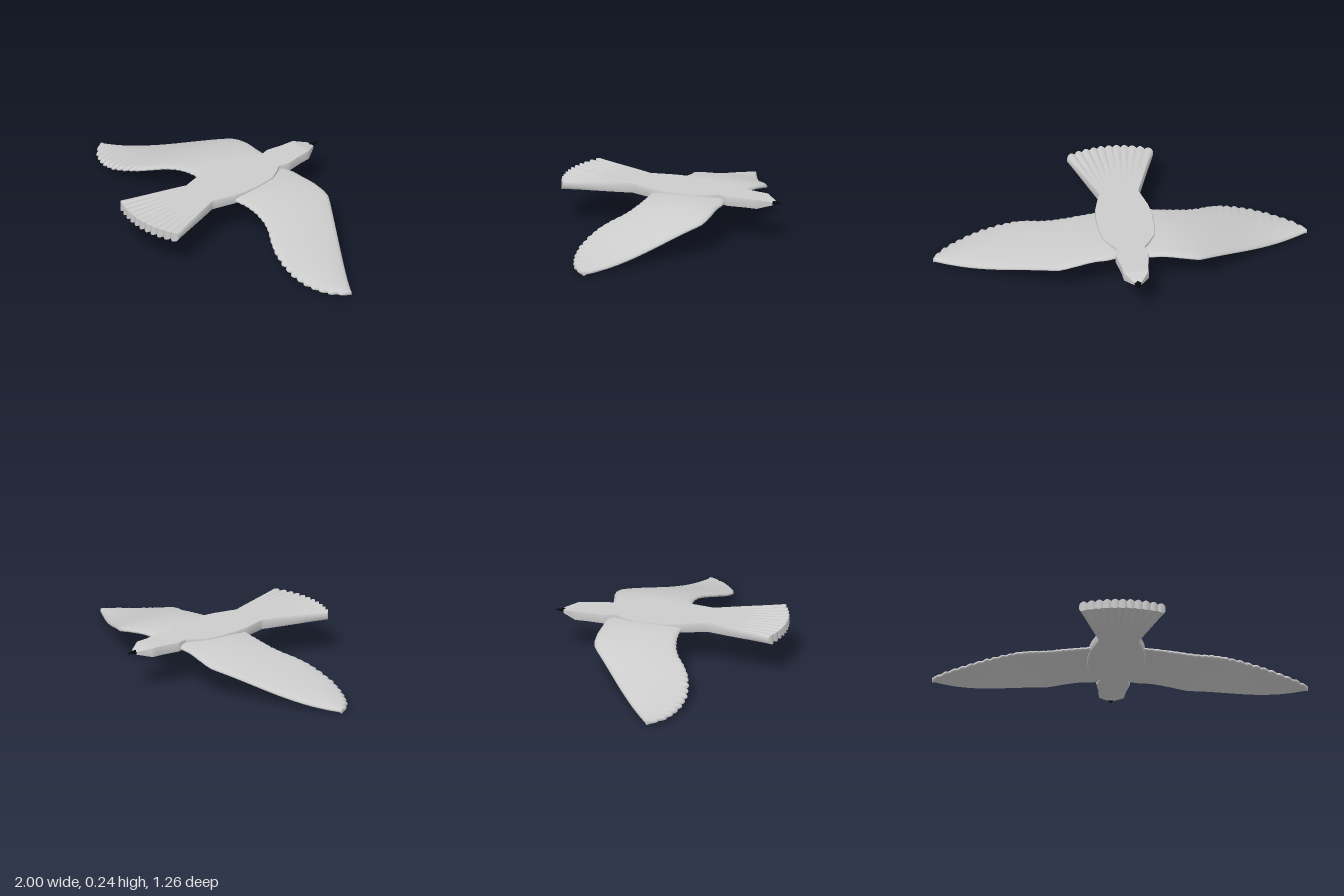
import * as THREE from 'three';
import { toCreasedNormals } from 'three/addons/utils/BufferGeometryUtils.js';

const grey = new THREE.MeshStandardMaterial({ color: 0xcccccc });
const black = new THREE.MeshStandardMaterial({ color: 0x050505 });

// Linear interpolation through [position, value] pairs
function along(table, s) {
  let i = 1;
  while (i < table.length - 1 && table[i][0] < s) i++;
  const [a, va] = table[i - 1], [b, vb] = table[i];
  return va + (vb - va) * THREE.MathUtils.clamp((s - a) / (b - a), 0, 1);
}

// Even steps plus the exact table positions, sorted
function stations(table, from, to, count) {
  const list = table.map(p => p[0]).filter(s => s > from && s < to);
  for (let i = 0; i <= count; i++) list.push(from + (to - from) * i / count);
  return [...new Set(list)].sort((a, b) => a - b);
}

// Closed loft: rings run over the top and back underneath
function loft(rings, crease) {
  const n = rings[0].length, last = (rings.length - 1) * n, index = [];
  for (let i = 0; i < rings.length - 1; i++) {
    for (let j = 0; j < n; j++) {
      const a = i * n + j, b = i * n + (j + 1) % n;
      index.push(a, a + n, b, b, a + n, b + n);
    }
  }
  for (let j = 0; j < n / 2 - 1; j++) {
    const k = n - 1 - j;
    index.push(j, j + 1, k, j + 1, k - 1, k);
    index.push(last + j, last + k, last + j + 1, last + j + 1, last + k, last + k - 1);
  }
  const g = new THREE.BufferGeometry();
  g.setAttribute('position', new THREE.Float32BufferAttribute(rings.flat(2), 3));
  g.setIndex(index);
  return toCreasedNormals(g, crease);
}

// Body, head and fanned tail in one slab; half-width by z
const bodyWidth = [[-0.58, 0.022], [-0.51, 0.067], [-0.44, 0.073], [-0.35, 0.09], [-0.29, 0.075],
  [-0.25, 0.105], [-0.19, 0.14], [-0.1, 0.152], [0, 0.153], [0.08, 0.143], [0.21, 0.107], [0.56, 0.23]];
const bodyThick = [[-0.58, 0.008], [-0.51, 0.025], [0.2, 0.026], [0.56, 0.027]];

function bodyRing(z) {
  const w = along(bodyWidth, z), h = along(bodyThick, z);
  const fan = THREE.MathUtils.smoothstep(z, 0.22, 0.56);
  const columns = 88, top = [], bottom = [];
  for (let i = 0; i <= columns; i++) {
    const u = -1 + 2 * i / columns;
    const edge = (i === 0 || i === columns) ? 0.7 : 1;
    const feather = Math.abs(Math.sin(Math.PI * 5.5 * (u + 1)));
    const zz = z + fan * (0.056 * (1 - u * u) + 0.011 * feather);
    const groove = fan * 0.007 * (1 - feather);
    top.push([w * u, h * edge - groove, zz]);
    bottom.unshift([w * u, -h * edge + groove * 1.3, zz]);
  }
  return [...top, ...bottom];
}

// Wing outline by distance from the middle
const leading = [[0.05, -0.325], [0.12, -0.343], [0.18, -0.345], [0.27, -0.358], [0.34, -0.361],
  [0.38, -0.355], [0.42, -0.333], [0.7, -0.158], [0.9, -0.032], [1, 0.028]];
const trailing = [[0.05, 0.085], [0.14, 0.083], [0.2, 0.073], [0.28, 0.073], [0.36, 0.085], [0.42, 0.108],
  [0.49, 0.15], [0.56, 0.182], [0.63, 0.2], [0.72, 0.207], [0.8, 0.193], [0.87, 0.166], [0.93, 0.131], [0.97, 0.093], [1, 0.052]];

function wingRing(x) {
  const d = Math.abs(x);
  const outer = d > 0.57;
  const scallop = outer ? 0.016 * Math.abs(Math.sin(Math.PI * (1 - d) / 0.043))
    : 0.006 * Math.abs(Math.sin(Math.PI * (0.57 - d) / 0.035));
  const front = along(leading, d), back = along(trailing, d) - (outer ? 0.016 : 0.006) + scallop;
  const chord = back - front, round = Math.min(0.028, chord * 0.45);
  const drop = 0.0125 + 0.19 * (0.5 + 0.5 * Math.cos(Math.PI * Math.max(0, (d - 0.15) / 0.85)));
  // Rounded rim at both edges, gently cambered between
  const section = [];
  for (let i = 0; i <= 5; i++) {
    const a = i / 5 * Math.PI / 2;
    section.push([round * (1 - Math.cos(a)), 0.0125 * Math.sin(a)]);
  }
  for (let i = 1; i < 10; i++) section.push([round + (chord - 2 * round) * i / 10, 0.0125]);
  for (let i = 5; i >= 0; i--) section.push([chord - section[i][0], section[i][1]]);
  const top = [], bottom = [];
  for (const [s, h] of section) {
    const f = s / chord, y = drop + 0.05 * Math.min(chord, 0.3) * 4 * f * (1 - f);
    top.push([x, y + h, back - s]);
    bottom.unshift([x, y - h, back - s]);
  }
  return [...top, ...bottom];
}

export function createModel() {
  const bird = new THREE.Group();
  bird.name = 'bird';
  const add = (name, geometry, material) => {
    const mesh = new THREE.Mesh(geometry, material);
    mesh.name = name;
    bird.add(mesh);
    return mesh;
  };

  const body = add('bodyAndTail', loft(stations(bodyWidth, -0.58, 0.56, 50).map(bodyRing), 0.7), grey);
  body.position.set(-0.016, 0.212, 0);

  const span = stations(leading, 0.05, 1, 180);
  add('leftWing', loft(span.map(wingRing), 0.9), grey);
  add('rightWing', loft(span.map(x => -x).reverse().map(wingRing), 0.9), grey);

  // Flattened pointed beak
  const beak = add('beak', new THREE.ConeGeometry(0.023, 0.06, 16).rotateX(-Math.PI / 2).scale(1, 0.4, 1), black);
  beak.position.set(-0.016, 0.213, -0.602);
  return bird;
}
